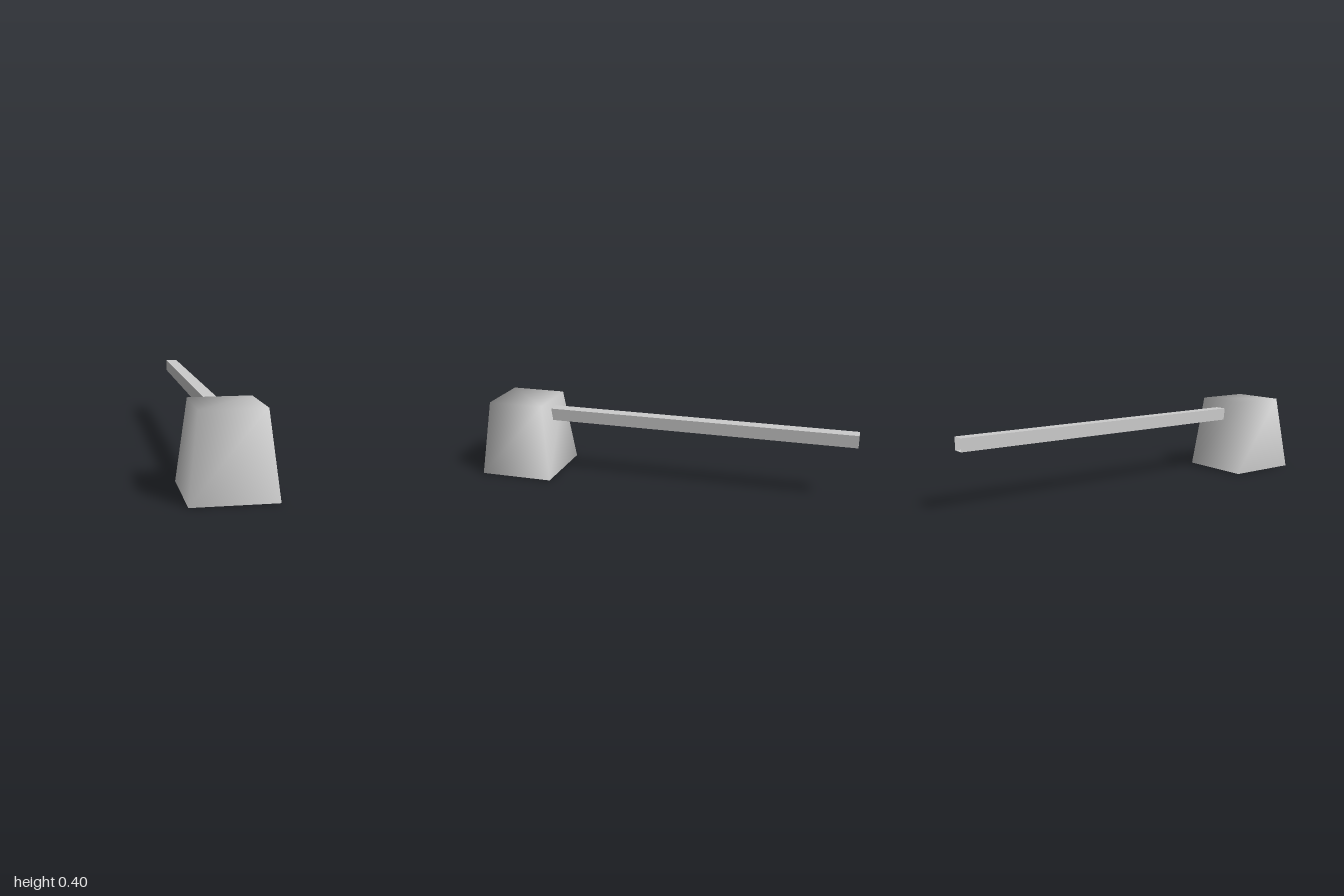
import * as THREE from 'three';

// Four-sided shell between two loops of corners (counter-clockwise seen from the end side)
function shell(start, end, capEnd) {
  const index = [];
  for (let i = 0; i < 4; i++) {
    const j = (i + 1) % 4;
    index.push(i, j, j + 4, i, j + 4, i + 4);
  }
  if (capEnd) index.push(4, 5, 6, 4, 6, 7);
  const geometry = new THREE.BufferGeometry();
  geometry.setAttribute('position', new THREE.Float32BufferAttribute([...start, ...end].flat(), 3));
  geometry.setIndex(index);
  return geometry;
}

export function createModel() {
  const group = new THREE.Group();
  const grey = new THREE.MeshStandardMaterial({ color: 0xcccccc, side: THREE.DoubleSide });
  grey.name = 'light grey';

  const add = (name, geometry) => {
    geometry.computeVertexNormals();
    const mesh = new THREE.Mesh(geometry, grey);
    mesh.name = name;
    group.add(mesh);
  };

  // Tapered head: closed top, open underside, shared smooth normals
  const headZ = 0.8;
  const square = (r, y) => [[-r, y, headZ + r], [r, y, headZ + r], [r, y, headZ - r], [-r, y, headZ - r]];
  add('head', shell(square(0.198, 0), square(0.15, 0.4), true));

  // Hollow square handle, its front end following the slope of the head
  const h = 0.0325, low = 0.29, high = 0.355;
  const handleEnd = (zLow, zHigh) => [[-h, low, zLow], [h, low, zLow], [h, high, zHigh], [-h, high, zHigh]];
  add('handle', shell(handleEnd(-1, -1), handleEnd(0.637, 0.645), false).toNonIndexed());

  return group;
}
